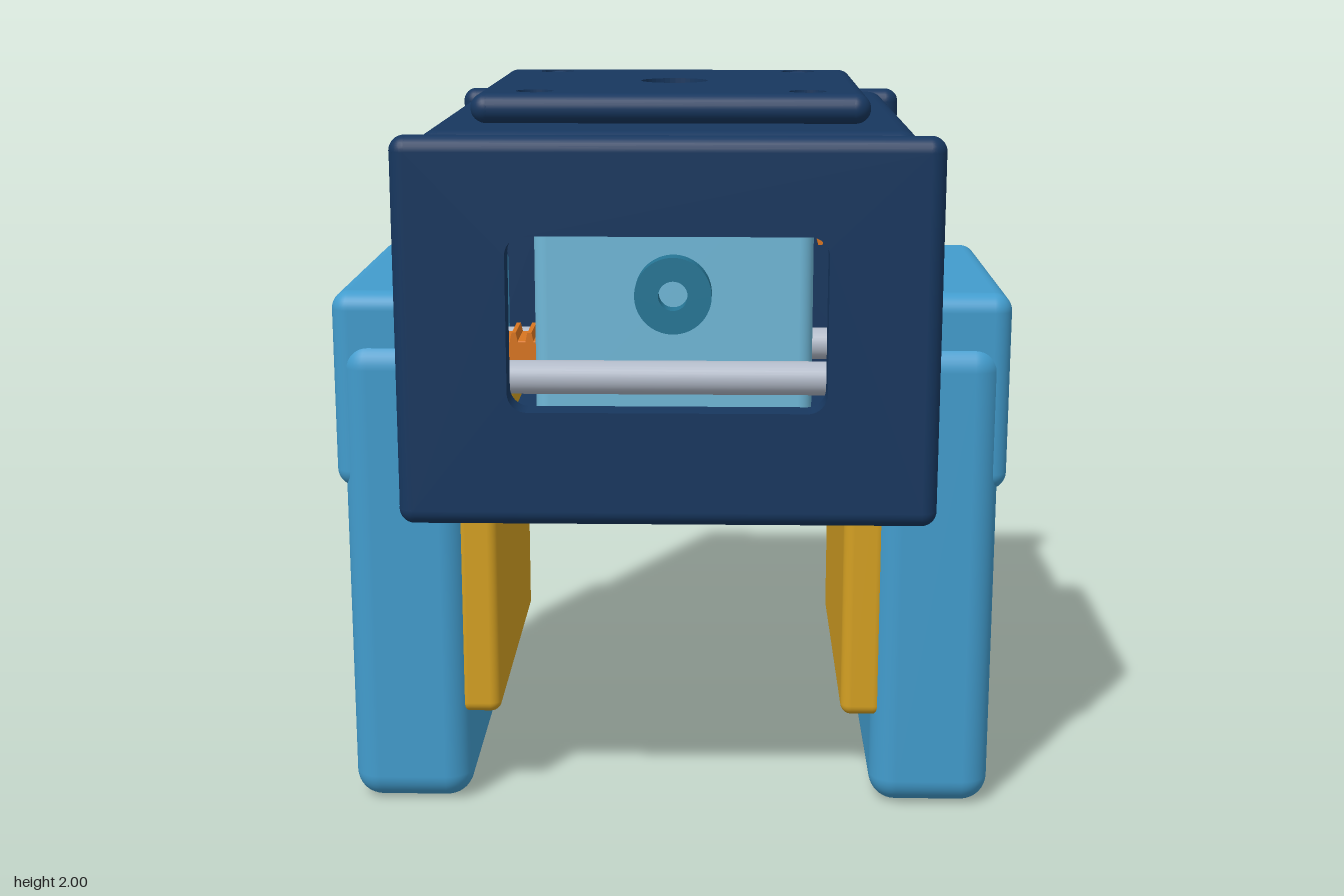
import * as THREE from 'three';
import { RoundedBoxGeometry } from 'three/addons/geometries/RoundedBoxGeometry.js';

const mat = (color) => new THREE.MeshStandardMaterial({ color });
const navy = mat(0x17375f), blue = mat(0x429ccd), paleBlue = mat(0x70b8d8), teal = mat(0x267696);
const yellow = mat(0xd4a022), orange = mat(0xd97520), steel = mat(0xb2bac8);

function add(parent, name, geometry, material, x = 0, y = 0, z = 0) {
  const mesh = new THREE.Mesh(geometry, material);
  mesh.name = name;
  mesh.position.set(x, y, z);
  parent.add(mesh);
  return mesh;
}

// Rounded box given by its limits on each axis
function block(parent, name, material, [x0, x1], [y0, y1], [z0, z1], r) {
  const g = new RoundedBoxGeometry(x1 - x0, y1 - y0, z1 - z0, 5, r);
  return add(parent, name, g, material, (x0 + x1) / 2, (y0 + y1) / 2, (z0 + z1) / 2);
}

// Flat slab in the xy plane with fully rounded rims and sharp-edged holes
function plate(name, w, h, t, holes = []) {
  const group = new THREE.Group();
  group.name = name;
  const r = t / 2, a = w / 2 - r, b = h / 2 - r;
  const shape = new THREE.Shape([[-a, -b], [a, -b], [a, b], [-a, b]].map((p) => new THREE.Vector2(...p)));
  shape.holes.push(...holes);
  const slab = new THREE.ExtrudeGeometry(shape, { depth: t, bevelEnabled: false, curveSegments: 20 });
  add(group, name + 'Slab', slab.translate(0, 0, -r), navy);
  for (const s of [-1, 1]) {
    add(group, name + 'Rim', new THREE.CapsuleGeometry(r, 2 * b, 8, 20), navy, s * a);
    add(group, name + 'Rim', new THREE.CapsuleGeometry(r, 2 * a, 8, 20), navy, 0, s * b).rotation.z = Math.PI / 2;
  }
  return group;
}

function roundHole(x, y, r) {
  return new THREE.Path().absarc(x, y, r, 0, Math.PI * 2, true);
}

// Rounded rectangular opening
function windowHole(x0, y0, x1, y1, r) {
  const p = new THREE.Path();
  p.absarc(x1 - r, y1 - r, r, 0, Math.PI / 2);
  p.absarc(x0 + r, y1 - r, r, Math.PI / 2, Math.PI);
  p.absarc(x0 + r, y0 + r, r, Math.PI, Math.PI * 1.5);
  p.absarc(x1 - r, y0 + r, r, Math.PI * 1.5, Math.PI * 2);
  p.closePath();
  return p;
}

// Connector reaching out sideways, with a row of teeth beneath
function connector(name) {
  const group = new THREE.Group();
  group.name = name;
  block(group, 'connectorBody', orange, [0.38, 0.73], [0.16, 0.22], [-0.08, 0.08], 0.008);
  const tooth = new THREE.Shape();
  tooth.moveTo(-0.015, 0.04);
  tooth.lineTo(-0.006, 0);
  tooth.lineTo(0.006, 0);
  tooth.lineTo(0.015, 0.04);
  const g = new THREE.ExtrudeGeometry(tooth, { depth: 0.16, bevelEnabled: false });
  for (let i = 0; i < 8; i++) add(group, 'connectorTooth', g, orange, 0.42 + i * 0.046, 0.13, -0.08);
  block(group, 'connectorLip', orange, [0.4, 0.757], [0.155, 0.175], [-0.08, 0.08], 0.004);
  return group;
}

export function createModel() {
  const model = new THREE.Group();
  model.name = 'gripper';

  // Front and back plates with windows
  for (const [name, z] of [['frontPlate', 0.78], ['backPlate', -0.78]]) {
    const p = plate(name, 1.4, 1.01, 0.08, [windowHole(-0.41, -0.2, 0.41, 0.255, 0.05)]);
    p.position.set(0, 1.415, z);
    model.add(p);
  }

  // Top and bottom plates
  for (const [name, y] of [['topPlate', 1.865], ['bottomPlate', 0.965]]) {
    const p = plate(name, 1.3, 1.4, 0.11);
    p.rotation.x = -Math.PI / 2;
    p.position.y = y;
    model.add(p);
  }

  // Mounting flange with bolt holes and a centre hole
  const holes = [roundHole(0, 0, 0.095)];
  for (const sx of [-1, 1]) for (const sz of [-1, 1]) holes.push(roundHole(sx * 0.365, sz * 0.395, 0.05));
  const flange = plate('mountingFlange', 1.06, 1.0, 0.08, holes);
  flange.rotation.x = -Math.PI / 2;
  flange.position.y = 1.96;
  model.add(flange);

  // Motor body with ring-shaped boss
  block(model, 'motorBody', paleBlue, [-0.4, 0.4], [1.0, 1.83], [-0.7, 0.14], 0.04);
  const ring = new THREE.Shape().absarc(0, 0, 0.11, 0, Math.PI * 2);
  ring.holes.push(roundHole(0, 0, 0.042));
  add(model, 'motorBoss', new THREE.ExtrudeGeometry(ring, { depth: 0.07, bevelEnabled: false, curveSegments: 32 }),
    teal, 0, 1.41, 0.13);

  // Connectors, turned half a turn about the motor axis
  for (const [name, turn] of [['leftConnector', 0], ['rightConnector', Math.PI]]) {
    const c = connector(name);
    c.position.y = 1.41;
    c.rotation.z = turn;
    model.add(c);
  }

  // Guide rods between the carriages
  for (const z of [0.255, -0.25]) {
    add(model, 'guideRod', new THREE.CylinderGeometry(0.048, 0.048, 1.7, 32), steel, 0, 1.187, z).rotation.z = Math.PI / 2;
  }

  // Finger, carriage, grip pad and rod caps on each side
  for (const [side, s] of [['left', 1], ['right', -1]]) {
    const span = (a, b) => (s > 0 ? [a, b] : [-b, -a]);
    block(model, side + 'Finger', blue, span(0.565, 0.9), [0, 1.33], [-0.505, 0.505], 0.075);
    block(model, side + 'Carriage', blue, span(0.53, 0.925), [0.915, 1.465], [-0.478, 0.478], 0.05);
    block(model, side + 'GripPad', yellow, span(0.48, 0.6), [0.26, 1.1], [-0.48, 0.48], 0.03);
    for (const z of [0.255, -0.25]) {
      add(model, side + 'RodCap', new THREE.CylinderGeometry(0.061, 0.061, 0.02, 32), teal, s * 0.917, 1.187, z)
        .rotation.z = Math.PI / 2;
    }
  }
  return model;
}
